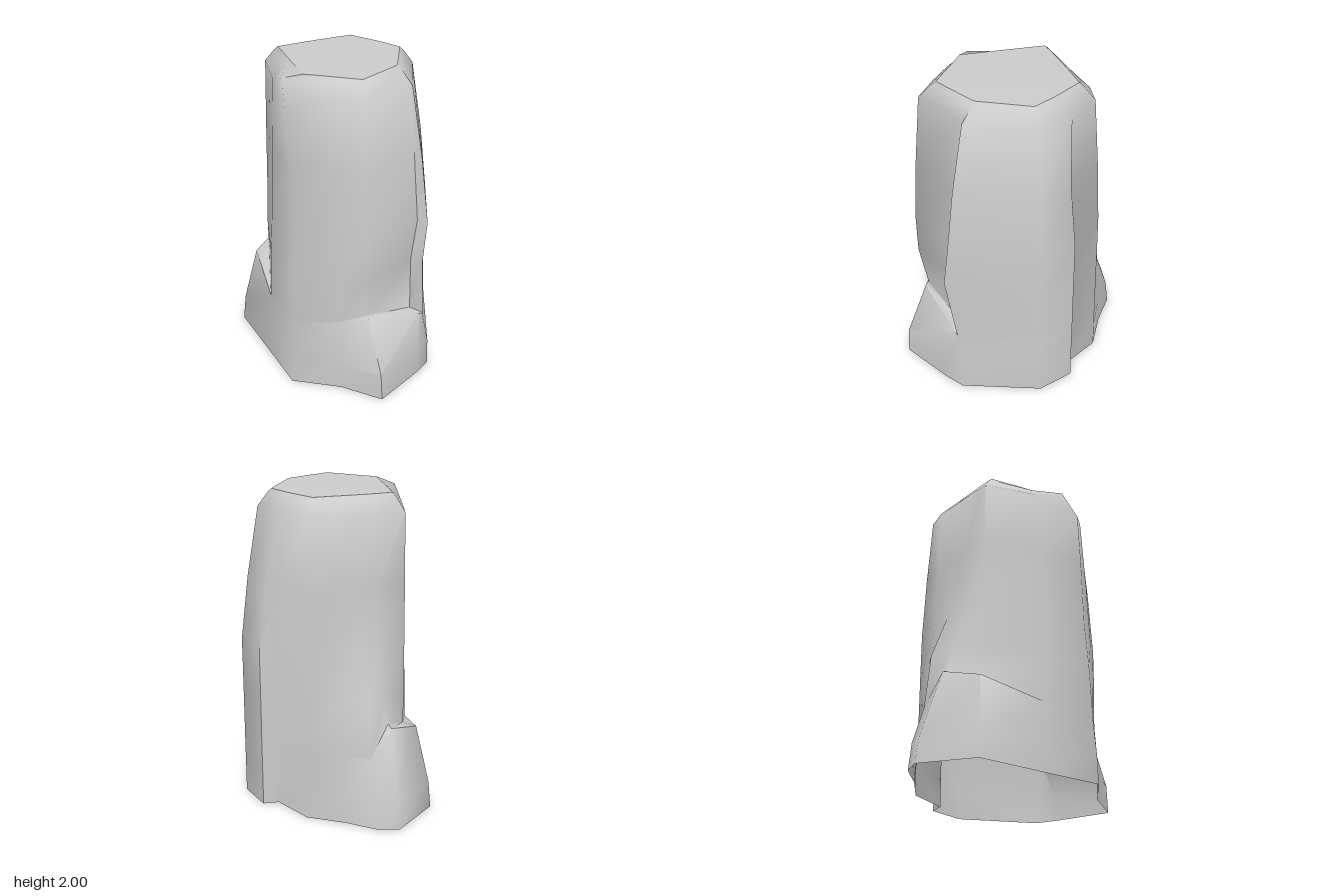
import * as THREE from 'three';
import { toCreasedNormals } from 'three/addons/utils/BufferGeometryUtils.js';

// Key outlines as [x, z], running from the front corner round past +x to the back
const base = [
  [-0.24, 0.74], [0.12, 0.655], [0.25, 0.61], [0.55, 0.2], [0.54, -0.04], [0.445, -0.07], [0.38, -0.34],
  [0.2, -0.52], [0.07, -0.69], [-0.05, -0.75], [-0.38, -0.58], [-0.48, -0.12], [-0.56, 0.24], [-0.36, 0.48],
];
const middle = [
  [-0.27, 0.61], [0.155, 0.575], [0.18, 0.64], [0.555, 0.2], [0.545, -0.04], [0.45, -0.065], [0.37, -0.34],
  [0.2, -0.38], [0.06, -0.42], [-0.08, -0.42], [-0.26, -0.42], [-0.46, -0.08], [-0.51, 0.22], [-0.36, 0.47],
];
const shoulder = [
  [-0.25, 0.55], [0.14, 0.48], [0.155, 0.495], [0.44, 0.17], [0.41, -0.03], [0.39, -0.1], [0.34, -0.3],
  [0.2, -0.36], [0.06, -0.37], [-0.08, -0.39], [-0.255, -0.41], [-0.415, -0.1], [-0.525, 0.17], [-0.38, 0.38],
];
// Flat top
const crown = [
  [-0.19, 0.46], [0.11, 0.395], [0.13, 0.385], [0.36, 0.14], [0.335, 0], [0.32, -0.06], [0.27, -0.23],
  [0.15, -0.255], [0.03, -0.28], [-0.08, -0.3], [-0.22, -0.32], [-0.315, -0.06], [-0.4, 0.18], [-0.33, 0.27],
];
const count = base.length;

const mix = (a, b, t, y) =>
  a.map(([x, z], i) => new THREE.Vector3(x + (b[i][0] - x) * t, y, z + (b[i][1] - z) * t));

function buildRings() {
  const foot = mix(base, middle, 0.08, 0.17);
  // Broken slab edge: a slanting ledge across the front, a smaller one at the back
  const ledge = mix(base, middle, 0.4, 0.42);
  ledge[0].set(-0.23, 0.5, 0.59);
  ledge[1].set(0.16, 0.395, 0.6);
  ledge[2].set(0.2, 0.38, 0.605);
  ledge[9].set(-0.08, 0.6, -0.58);
  ledge[10].set(-0.31, 0.54, -0.5);
  ledge[13].y = 0.47;
  // Recessed panels start just above and behind the ledges
  const recess = ledge.map((p) => p.clone().setY(p.y + 0.015));
  recess[0].z -= 0.025;
  recess[1].z -= 0.075;
  recess[9].z += 0.04;
  recess[10].set(-0.25, 0.555, -0.435);
  // The back bulge is still wide here, cut away beside the recess
  const bulge = mix(base, middle, 0.62, 0.76);
  bulge[0].set(-0.27, 0.78, 0.605);
  bulge[1].set(0.115, 0.8, 0.57);
  bulge[2].set(0.14, 0.8, 0.65);
  bulge[8].set(0.05, 0.75, -0.555);
  bulge[9].set(-0.08, 0.78, -0.5);
  bulge[10].set(-0.26, 0.76, -0.43);
  const upper = mix(middle, shoulder, 1, 1.89);
  upper[12].y = 1.8;
  const rim = mix(shoulder, crown, 0.7, 1.97);
  rim[12].set(-0.475, 1.96, 0.08);
  return [
    mix(base, middle, 0, 0), foot, ledge, recess, bulge,
    mix(middle, shoulder, 0, 1.05), mix(middle, shoulder, 0.4, 1.46),
    upper, rim, mix(crown, crown, 0, 1.995),
  ];
}

function toGeometry(points, index) {
  const geometry = new THREE.BufferGeometry().setFromPoints(points);
  geometry.setIndex(index);
  return toCreasedNormals(geometry, 1.2);
}

// Skin between successive rings
function createSideGeometry(rings) {
  const index = [];
  for (let r = 0; r < rings.length - 1; r++) {
    for (let j = 0; j < count; j++) {
      const a = r * count + j, b = r * count + (j + 1) % count;
      index.push(a, b, b + count, a, b + count, a + count);
    }
  }
  return toGeometry(rings.flat(), index);
}

// Fan closing the last ring
function createTopGeometry(ring) {
  const index = [];
  for (let j = 0; j < count; j++) index.push(count, j, (j + 1) % count);
  return toGeometry([...ring, new THREE.Vector3(-0.03, 2, 0.05)], index);
}

export function createModel() {
  const group = new THREE.Group();
  group.name = 'rockPillar';
  // The shell is open underneath
  const material = new THREE.MeshStandardMaterial({ color: 0xcccccc, side: THREE.DoubleSide });
  const rings = buildRings();
  const side = new THREE.Mesh(createSideGeometry(rings), material);
  side.name = 'rockSides';
  const top = new THREE.Mesh(createTopGeometry(rings.at(-1)), material);
  top.name = 'rockTop';
  group.add(side, top);
  return group;
}
